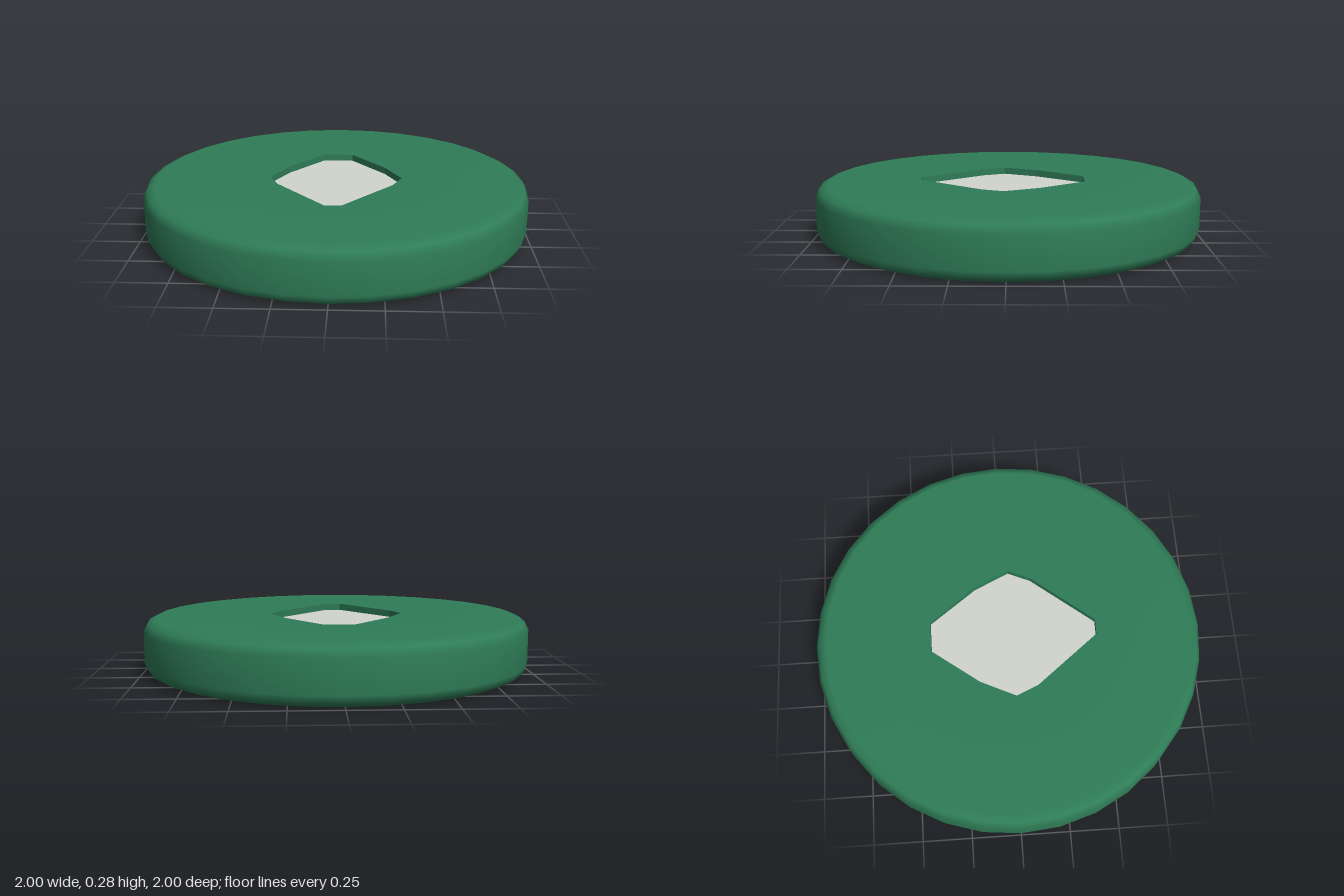
import * as THREE from 'three';

const SEGMENTS = 32;
const HEIGHT = 0.285;
const RECESS_DEPTH = 0.035;
const INNER_RADIUS = 0.55;

// right half of the recess outline, back to front, as [x, z]
const HALF_OUTLINE = [[0.08, -0.4], [0.26, -0.16], [0.345, 0.02], [0.295, 0.135], [0.04, 0.455]];

export function createModel() {
  const group = new THREE.Group();
  const green = new THREE.MeshStandardMaterial({ color: 0x2f7d57 });
  const pale = new THREE.MeshStandardMaterial({ color: 0xd2d4ce });

  const add = (name, geometry, material, y = 0) => {
    const mesh = new THREE.Mesh(geometry, material);
    mesh.name = name;
    mesh.position.y = y;
    group.add(mesh);
  };

  // mirrored recess outline; shape y is -z
  const outline = [
    ...HALF_OUTLINE.map(([x, z]) => new THREE.Vector2(x, -z)),
    ...HALF_OUTLINE.map(([x, z]) => new THREE.Vector2(-x, -z)).reverse(),
  ];

  // rounded disc: underside, rim and outer part of the top
  const profile = [
    [0, 0], [0.94, 0], [0.98, 0.02], [1, 0.06],
    [1, HEIGHT - 0.06], [0.98, HEIGHT - 0.02], [0.94, HEIGHT], [INNER_RADIUS, HEIGHT],
  ].map(([r, y]) => new THREE.Vector2(r, y));
  add('disc', new THREE.LatheGeometry(profile, SEGMENTS), green);

  // inner part of the top, with the recess cut through it
  const ring = [];
  for (let i = 0; i < SEGMENTS; i++) {
    const a = (i / SEGMENTS) * Math.PI * 2;
    ring.push(new THREE.Vector2(Math.cos(a) * INNER_RADIUS, Math.sin(a) * INNER_RADIUS));
  }
  const top = new THREE.Shape(ring);
  top.holes.push(new THREE.Path(outline));
  const topGeometry = new THREE.ExtrudeGeometry(top, { depth: RECESS_DEPTH, bevelEnabled: false });
  topGeometry.rotateX(-Math.PI / 2);
  add('recessedTop', topGeometry, green, HEIGHT - RECESS_DEPTH);

  // pale inlay on the floor of the recess
  const floor = new THREE.ShapeGeometry(new THREE.Shape(outline));
  floor.rotateX(-Math.PI / 2);
  add('inlay', floor, pale, HEIGHT - RECESS_DEPTH);

  return group;
}
